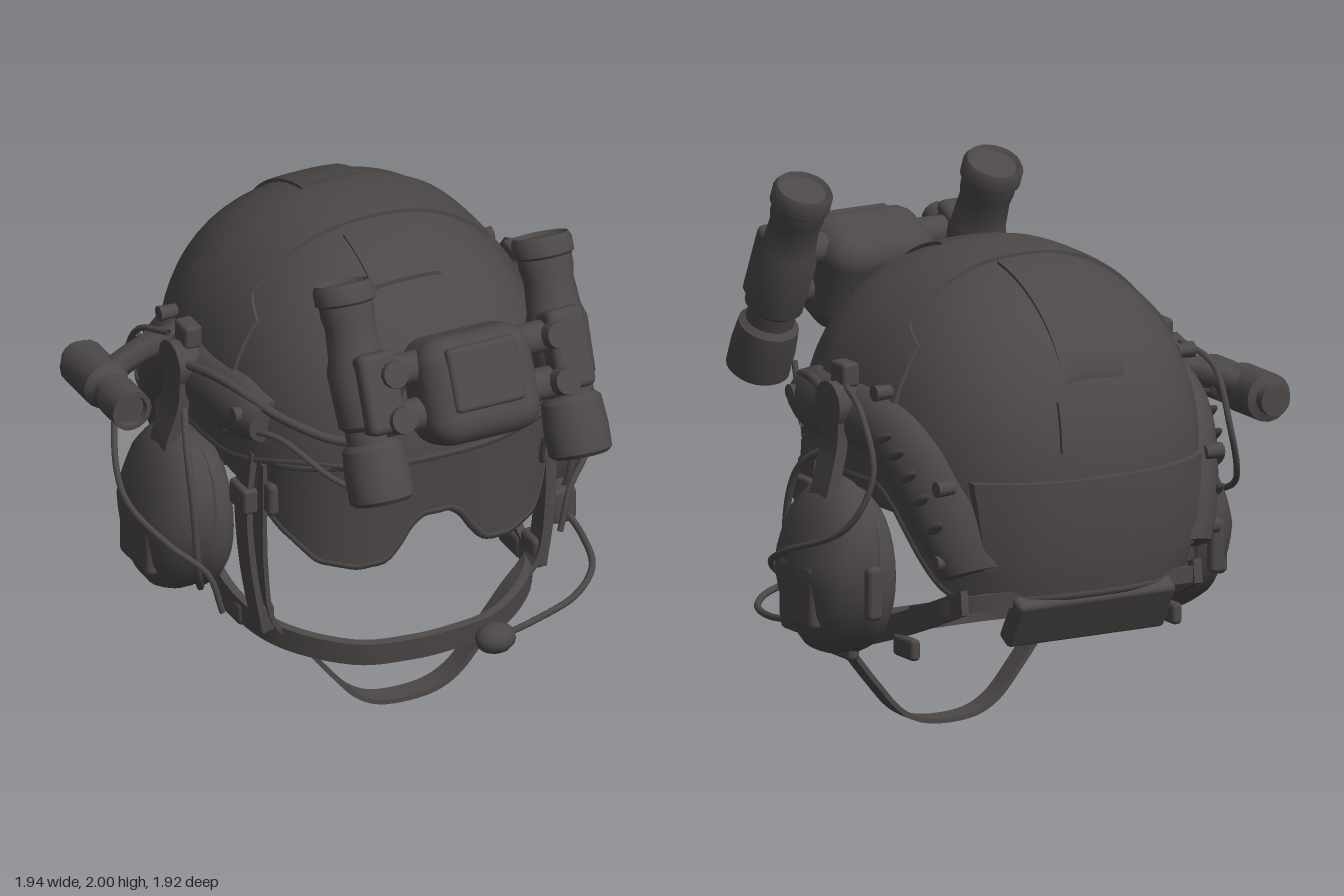
import * as THREE from 'three';
import { toCreasedNormals } from 'three/addons/utils/BufferGeometryUtils.js';
import { RoundedBoxGeometry } from 'three/addons/geometries/RoundedBoxGeometry.js';

const charcoal = new THREE.MeshStandardMaterial({ color: 0x4c4847, side: THREE.DoubleSide });
charcoal.name = 'charcoal';

// Helmet dome: rounded profile (exponent N), squarer plan (exponent M), longer below its widest line
const N = 2.2, M = 2.5, RX = 0.65, RZ = 0.745, CY = 1.1, CZ = -0.19;
const V = (x, y, z) => new THREE.Vector3(x, y, z);
const arc = (t, e) => Math.max(1 - Math.abs(t) ** e, 0) ** (1 / e);
const chord = (k, t) => Math.max(k ** M - Math.abs(t) ** M, 0) ** (1 / M);
const sp = (s, e) => Math.sign(s) * Math.abs(s) ** (2 / e);
const ry = y => (y > CY ? 0.745 : 1.0);
const ring = (y, o) => arc((y - CY) / (ry(y) + o), N);
const clamp = THREE.MathUtils.clamp;

// Points on the dome, found from the side, from front or back, or along a cross slice
const onSide = (z, y, o) => V((RX + o) * chord(ring(y, o), (z - CZ) / (RZ + o)), y, z);
const onEnd = (x, y, s, o) => V(x, y, CZ + s * (RZ + o) * chord(ring(y, o), x / (RX + o)));
const onSlice = (z, a, o) => {
  const dz = Math.abs((z - CZ) / (RZ + o)), x = arc(dz, M) * Math.sin(a);
  const k = (Math.abs(x) ** M + dz ** M) ** (1 / M);
  return V((RX + o) * x, CY + (0.745 + o) * arc(Math.min(k, 1), N), z);
};

function add(parent, name, geo, x = 0, y = 0, z = 0) {
  const m = new THREE.Mesh(geo, charcoal);
  m.name = name;
  m.position.set(x, y, z);
  parent.add(m);
  return m;
}

function grid(fn, nu, nv, crease = 0.7) {
  const pos = [], idx = [];
  for (let i = 0; i <= nu; i++) for (let j = 0; j <= nv; j++) {
    pos.push(...fn(i, j).toArray());
    if (i < nu && j < nv) {
      const a = i * (nv + 1) + j, b = a + nv + 1;
      idx.push(a, b, a + 1, b, b + 1, a + 1);
    }
  }
  const g = new THREE.BufferGeometry();
  g.setAttribute('position', new THREE.Float32BufferAttribute(pos, 3));
  g.setIndex(idx);
  return toCreasedNormals(g, crease);
}

// Raised plate with a skirt down to the surface below
function plate(fn, nu, nv, off, base = -0.005) {
  return grid((i, j) => {
    const edge = i === 0 || j === 0 || i === nu + 2 || j === nv + 2;
    return fn(clamp(i - 1, 0, nu) / nu, clamp(j - 1, 0, nv) / nv, edge ? base : off);
  }, nu + 2, nv + 2);
}

// Flat webbing swept along a path; w gives the half width direction
function ribbon(pts, w, t = 0.01, n = 32) {
  const c = new THREE.CatmullRomCurve3(pts.map(p => V(...p)));
  const wide = V(...w), corners = [[1, 1], [1, -1], [-1, -1], [-1, 1], [1, 1]];
  return grid((i, j) => {
    const u = clamp(i - 1, 0, n) / n, p = c.getPoint(u);
    if (i === 0 || i === n + 2) return p;
    const nrm = c.getTangent(u).cross(wide).normalize();
    return p.addScaledVector(wide, corners[j][0]).addScaledVector(nrm, t * corners[j][1]);
  }, n + 2, 4);
}
const cable = (pts, r, n = 36) =>
  new THREE.TubeGeometry(new THREE.CatmullRomCurve3(pts.map(p => V(...p))), n, r, 7);
const cylX = (r1, r2, l, n = 20) => new THREE.CylinderGeometry(r1, r2, l, n).rotateZ(-Math.PI / 2);
const lathe = (pts, n = 24) =>
  toCreasedNormals(new THREE.LatheGeometry(pts.map(p => new THREE.Vector2(...p)), n), 0.6);
const lerpTable = (t, x) => {
  for (let i = 1; i < t.length; i++) if (x <= t[i][0])
    return THREE.MathUtils.mapLinear(x, t[i - 1][0], t[i][0], t[i - 1][1], t[i][1]);
  return t[t.length - 1][1];
};

function buildShell(g) {
  // Rim is high over brow and ears and drops at the nape
  const rimY = th => 1.16 - 0.08 * THREE.MathUtils.smoothstep(-Math.cos(th), -0.8, -0.2)
    - 0.38 * THREE.MathUtils.smoothstep(-Math.cos(th), 0.16, 0.68);
  const point = (th, v, o) => {
    const d = rimY(th) - CY;
    const end = Math.acos(Math.sign(d) * (Math.abs(d) / ry(rimY(th))) ** (N / 2));
    const c = Math.cos(v * end), k = sp(Math.sin(v * end), N);
    return V((RX + o) * k * sp(Math.sin(th), M), CY + sp(c, N) * (c > 0 ? 0.745 + o : 1),
      CZ + (RZ + o) * k * sp(Math.cos(th), M));
  };
  const n = 24;
  add(g, 'helmetShell', grid((i, j) => {
    const th = i / 64 * Math.PI * 2;
    return j <= n ? point(th, j / n, 0) : point(th, (2 * n + 1 - j) / n, -0.035);
  }, 64, 2 * n + 1));
  const rim = Array.from({ length: 64 }, (_, i) => point(i / 32 * Math.PI, 1, -0.015));
  add(g, 'rimTrim', new THREE.TubeGeometry(new THREE.CatmullRomCurve3(rim, true), 128, 0.02, 6, true));

  // Crown band flaring into side wings, and the fabric panels
  add(g, 'crownBand', plate((u, v, o) => {
    const a = (u * 2 - 1) * 1.27, f = THREE.MathUtils.smoothstep(Math.abs(a), 0.83, 0.9);
    return onSlice(THREE.MathUtils.lerp(-0.345 - 0.11 * f, -0.05 + 0.1 * f, v), a, o);
  }, 56, 8, 0.013));
  const panel = (name, z0, z1, w) => add(g, name, plate((u, v, o) => {
    const z = z0 + (z1 - z0) * v;
    return onSlice(z, Math.asin((u * 2 - 1) * w / (RX * arc((z - CZ) / RZ, M))), o);
  }, 8, 12, 0.013));
  panel('frontPanel', 0, 0.25, 0.135);
  panel('rearPanel', -0.85, -0.37, 0.12);
  const endPlate = (name, s, w0, w1, y0, y1, off) => add(g, name, plate((u, v, o) =>
    onEnd((u * 2 - 1) * (w0 + (w1 - w0) * v), y0 + (y1 - y0) * v, s, o), 16, 8, off));
  endPlate('smallRearPanel', -1, 0.18, 0.17, 1.24, 1.42, 0.013);
  endPlate('rearPouch', -1, 0.44, 0.48, 0.81, 1.14, 0.025);
  endPlate('mountShroud', 1, 0.28, 0.1, 1.25, 1.53, 0.05);
  const nape = add(g, 'napePad', new RoundedBoxGeometry(0.66, 0.2, 0.08, 2, 0.02), 0, 0.61, -0.805);
  nape.rotation.x = -0.52;
}

function buildGoggles(g) {
  const low = [[0, 0.9], [0.08, 0.9], [0.19, 0.74], [0.3, 0.725], [0.43, 0.755], [0.52, 0.86], [0.57, 0.95]];
  const at = (u, v, o) => {
    const s = u * 2 - 1, x = 0.56 * Math.sin(s * 1.25) / Math.sin(1.25);
    const top = 1.165 - 0.05 * s * s, bot = lerpTable(low, Math.abs(x));
    return V(x * (1 + o), top + (bot - top) * v, 0.51 - 0.29 * Math.abs(s) ** 2.6 - 0.03 * v + o);
  };
  add(g, 'goggleLens', plate(at, 36, 6, 0.015, -0.02));
  const edge = [];
  for (let i = 0; i <= 28; i++) edge.push(at(i / 28, 0, 0));
  for (let i = 28; i >= 0; i--) edge.push(at(i / 28, 1, 0));
  add(g, 'goggleFrame', new THREE.TubeGeometry(new THREE.CatmullRomCurve3(edge, true), 140, 0.02, 6, true));
  for (const s of [-1, 1]) {
    add(g, 'goggleBuckle', new RoundedBoxGeometry(0.05, 0.13, 0.1, 2, 0.02), s * 0.55, 0.97, 0.24);
    add(g, 'goggleStrap', ribbon([[s * 0.56, 1, 0.24], [s * 0.57, 1, 0], [s * 0.55, 1, -0.3],
      [s * 0.5, 0.98, -0.6]], [0, 0.045, 0]));
  }
}

function buildNightVision(g) {
  const nv = new THREE.Group();
  nv.name = 'nightVision';
  nv.position.set(0, 1.59, 0.688);
  nv.rotation.x = -0.42;
  g.add(nv);
  add(nv, 'bridge', new RoundedBoxGeometry(0.45, 0.4, 0.3, 3, 0.1), 0, -0.06, 0.06);
  add(nv, 'bridgeCover', new RoundedBoxGeometry(0.28, 0.24, 0.05, 2, 0.02), 0, -0.02, 0.2);
  add(nv, 'mountArm', new RoundedBoxGeometry(0.2, 0.15, 0.22, 2, 0.02), 0, -0.09, -0.15);
  add(nv, 'mountPivot', cylX(0.06, 0.06, 0.28), 0, -0.08, -0.12);
  for (const s of [-1, 1]) {
    add(nv, 'opticTube', lathe([[0, -0.39], [0.085, -0.39], [0.1, -0.415], [0.118, -0.4], [0.12, -0.31],
      [0.112, -0.21], [0.09, -0.19], [0.088, -0.14], [0.108, -0.12], [0.115, 0.08], [0.1, 0.13],
      [0.092, 0.24], [0.1, 0.28], [0.1, 0.32], [0.112, 0.33], [0.112, 0.38], [0.1, 0.4],
      [0.085, 0.385], [0, 0.38]]), s * 0.4, 0, 0);
    add(nv, 'tubeClamp', new RoundedBoxGeometry(0.15, 0.3, 0.17, 2, 0.03), s * 0.38, -0.01, 0.07);
    for (const y of [-0.12, 0.05]) {
      add(nv, 'hingeArm', cylX(0.06, 0.06, 0.2), s * 0.27, y, 0.07);
      add(nv, 'hingeKnob', new THREE.CylinderGeometry(0.05, 0.055, 0.06, 12).rotateX(Math.PI / 2), s * 0.33, y, 0.15);
    }
  }
}

// Ear cup: oval turned shell, broader and leaning inward toward the top
function earCupShape() {
  const geo = lathe([[0, 0.64], [0.22, 0.65], [0.25, 0.68], [0.25, 0.73], [0.24, 0.77], [0.225, 0.81],
    [0.18, 0.855], [0.1, 0.88], [0, 0.885]], 28).rotateZ(-Math.PI / 2).scale(1, 1.3, 1);
  const p = geo.attributes.position;
  for (let i = 0; i < p.count; i++) {
    const t = p.getY(i) / 0.325;
    p.setX(i, p.getX(i) - 0.3 * Math.max(t, 0) * (p.getX(i) - 0.64));
    p.setZ(i, p.getZ(i) * (1 + 0.2 * t));
  }
  return toCreasedNormals(geo, 0.6);
}

// Everything that repeats on both sides, built for +x
function buildSide(g) {
  const path = new THREE.CatmullRomCurve3([[0.25, 1.28], [0.1, 1.29], [-0.1, 1.29], [-0.3, 1.3],
    [-0.5, 1.24], [-0.65, 1.06], [-0.77, 0.8]].map(p => V(0, p[1], p[0])));
  const width = [[0, 0.08], [0.15, 0.115], [0.6, 0.11], [0.75, 0.125], [1, 0.09]];
  add(g, 'railPad', plate((u, v, o) => {
    const p = path.getPoint(u), t = path.getTangent(u), w = (v * 2 - 1) * lerpTable(width, u);
    const lift = o < 0 ? o : 0.015 + o * Math.sin(Math.PI * v) ** 0.6;
    return onSide(p.z + t.y * w, p.y - t.z * w, lift);
  }, 32, 8, 0.05, -0.03));
  for (let i = 0; i < 5; i++) {
    const p = path.getPoint(0.64 + i * 0.065), c = onSide(p.z, p.y, 0.05);
    add(g, 'railRib', new THREE.SphereGeometry(0.05, 10, 8).scale(0.4, 0.4, 1.6).rotateX(0.5), c.x, c.y, c.z);
  }
  for (const [z, y] of [[0.18, 1.3], [-0.42, 1.42], [-0.74, 1.12], [-0.72, 0.84]]) {
    const p = onSide(z, y, 0.045);
    add(g, 'railBolt', cylX(0.03, 0.025, 0.07, 10), p.x, p.y, p.z);
  }
  // Swivel, arm and ear cup
  add(g, 'swivelDisc', cylX(0.09, 0.08, 0.09, 12), 0.69, 1.34, -0.2);
  add(g, 'swivelClip', new RoundedBoxGeometry(0.07, 0.09, 0.1, 2, 0.015), 0.66, 1.45, -0.2);
  add(g, 'cupArm', ribbon([[0.7, 1.32, -0.2], [0.71, 1.18, -0.2], [0.75, 1.04, -0.21], [0.78, 0.92, -0.21]],
    [0, 0, 0.06], 0.022));
  add(g, 'earCushion', new THREE.TorusGeometry(0.165, 0.075, 12, 28).rotateY(Math.PI / 2).scale(1.1, 1.28, 0.97),
    0.64, 0.725, -0.21);
  add(g, 'earCup', earCupShape(), 0, 0.745, -0.21);
  add(g, 'cupFace', new RoundedBoxGeometry(0.06, 0.24, 0.24, 3, 0.025), 0.85, 0.66, -0.21);
  add(g, 'cupKnob', new RoundedBoxGeometry(0.06, 0.2, 0.05, 2, 0.02), 0.72, 0.7, -0.5);
  add(g, 'cupWire', cable([[0.7, 1.42, -0.28], [0.74, 1.36, -0.45], [0.75, 1.15, -0.55], [0.82, 0.95, -0.48],
    [0.91, 0.82, -0.2], [0.84, 0.72, 0.02], [0.73, 0.62, 0.1], [0.68, 0.46, 0.12]], 0.012));
  add(g, 'cupHoop', cable([[0.68, 1.2, -0.2], [0.75, 1.08, -0.03], [0.76, 0.85, 0.05], [0.74, 0.6, 0.04],
    [0.66, 0.45, -0.1]], 0.014));
  // Bungee to the front mount
  add(g, 'bungee', cable([[0.2, 1.3, 0.59], [0.38, 1.28, 0.5], [0.53, 1.32, 0.33], [0.65, 1.38, 0.05],
    [0.7, 1.36, -0.15]], 0.018));
  add(g, 'opticCable', cable([[0.3, 1.25, 0.76], [0.32, 1.13, 0.7], [0.44, 1.16, 0.54], [0.56, 1.25, 0.32],
    [0.66, 1.2, 0.1]], 0.012));
  // Harness webbing and buckles
  add(g, 'sideStrap', ribbon([[0.59, 1.13, 0.15], [0.61, 0.9, 0.15], [0.6, 0.65, 0.17], [0.56, 0.4, 0.18]],
    [0, 0, 0.05], 0.012));
  add(g, 'strapSlider', new RoundedBoxGeometry(0.06, 0.1, 0.13, 2, 0.015), 0.61, 0.94, 0.15);
  add(g, 'strapBuckle', new RoundedBoxGeometry(0.06, 0.12, 0.12, 2, 0.02), 0.55, 0.45, 0.17);
  add(g, 'chinBuckle', new RoundedBoxGeometry(0.05, 0.09, 0.17, 2, 0.02), 0.56, 0.39, -0.02);
  add(g, 'rearBuckle', new RoundedBoxGeometry(0.04, 0.08, 0.14, 2, 0.015), 0.55, 0.47, -0.45);
  add(g, 'napeStrap', ribbon([[0.24, 0.78, -0.84], [0.24, 0.68, -0.8], [0.25, 0.58, -0.76]], [0.04, 0, 0], 0.01, 8));
}

function buildStraps(g) {
  const loop = half => [...half.map(p => [-p[0], p[1], p[2]]), ...half.slice().reverse()];
  add(g, 'chinStrap', ribbon(loop([[0.49, 0.69, -0.76], [0.54, 0.55, -0.42], [0.57, 0.42, -0.02],
    [0.5, 0.375, 0.22], [0.28, 0.335, 0.4], [0.08, 0.325, 0.435]]), [0, 0.045, 0.006], 0.016, 64));
  add(g, 'rearBand', ribbon(loop([[0.55, 0.6, -0.48], [0.49, 0.67, -0.72], [0.3, 0.7, -0.83], [0.1, 0.7, -0.86]]),
    [0, 0.03, 0], 0.01, 40));
  add(g, 'looseStrap', ribbon(loop([[0.57, 1.1, 0.2], [0.565, 0.65, 0.2], [0.53, 0.44, 0.2], [0.42, 0.32, 0.21],
    [0.3, 0.17, 0.21], [0.2, 0.06, 0.21], [0.1, 0.012, 0.21]]), [0, 0, 0.045], 0.009, 64));
}

export function createModel() {
  const model = new THREE.Group();
  model.name = 'tacticalHelmet';
  const g = new THREE.Group();
  g.name = 'helmet';
  g.position.x = 0.05;
  model.add(g);
  for (const build of [buildShell, buildGoggles, buildNightVision, buildStraps]) build(g);
  for (const s of [1, -1]) {
    const side = new THREE.Group();
    side.name = s > 0 ? 'leftSide' : 'rightSide';
    side.scale.x = s;
    buildSide(side);
    g.add(side);
  }
  // Boom microphone on the left
  add(g, 'micBoom', cable([[0.74, 0.5, 0.0], [0.73, 0.47, 0.2], [0.67, 0.46, 0.4], [0.52, 0.46, 0.57],
    [0.3, 0.465, 0.68], [0.13, 0.465, 0.735]], 0.013));
  add(g, 'microphone', new THREE.SphereGeometry(0.068, 12, 8).scale(1.15, 0.85, 0.95), 0.115, 0.465, 0.735);
  add(g, 'micBase', new RoundedBoxGeometry(0.1, 0.14, 0.12, 2, 0.02), 0.72, 0.53, 0.02);
  // Lamp on the right
  const lamp = lathe([[0, -0.23], [0.06, -0.23], [0.06, -0.19], [0.09, -0.18], [0.09, 0.02], [0.065, 0.05],
    [0.065, 0.09], [0.078, 0.1], [0.078, 0.23], [0.06, 0.23], [0.055, 0.21], [0, 0.21]], 16).rotateX(Math.PI / 2);
  add(g, 'lamp', lamp, -0.925, 1.23, -0.35);
  add(g, 'lampArm', cable([[-0.9, 1.25, -0.38], [-0.78, 1.31, -0.38], [-0.62, 1.36, -0.36]], 0.05, 8));
  return model;
}
